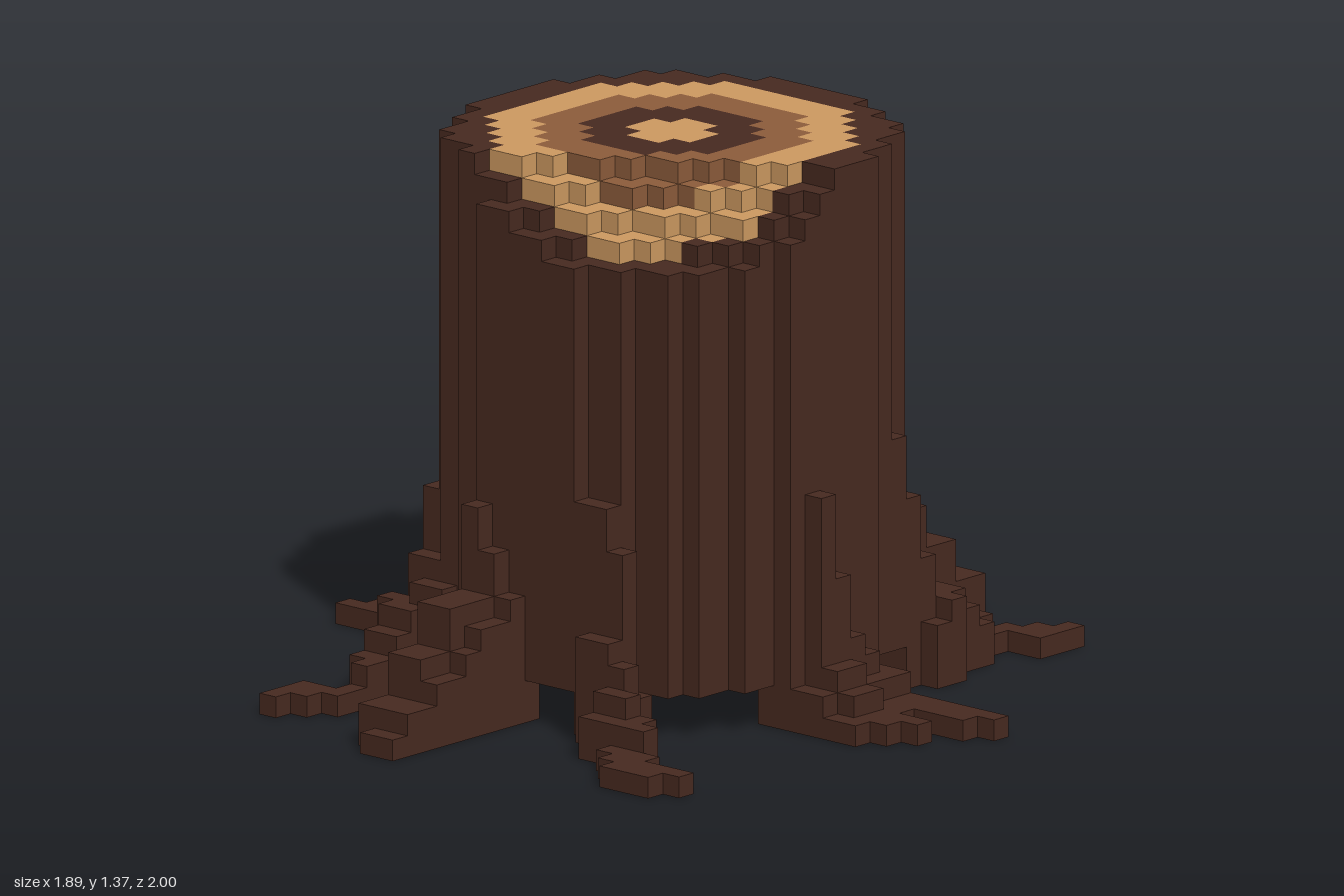
import * as THREE from 'three';

const U = 1 / 19;        // edge of one cube
const TOP = 26, BASE = 2; // trunk top and underside, in cubes

const mat = (name, color) => {
  const m = new THREE.MeshStandardMaterial({ color });
  m.name = name;
  return m;
};

// Roots on one half, as rows [z, firstX, lastX, height]; the other half is turned 180 degrees
const ROOTS = {
  frontRoot: [
    [9, -3, -1, 2], [10, -3, -3, 10], [10, -2, -2, 8], [10, -1, -1, 6],
    [11, -3, -2, 6], [11, -1, -1, 5], [12, -3, -2, 6], [12, -1, -1, 5], [13, -3, -2, 6], [13, -1, -1, 4],
    [14, -3, -2, 4], [14, -1, -1, 3], [15, -3, -2, 4], [15, -1, -1, 3],
    [16, -3, -1, 2], [17, -3, -1, 2], [18, -2, -1, 1],
  ],
  frontLeftRoot: [
    [8, 3, 5, 2], [9, 3, 4, 11], [9, 5, 5, 9],
    [10, 4, 5, 5], [10, 6, 6, 4], [11, 6, 7, 3], [11, 8, 8, 2],
    [12, 6, 9, 2], [13, 8, 10, 1], [14, 9, 13, 1], [15, 10, 12, 1],
  ],
  frontRightRoot: [
    [6, -9, -9, 9], [6, -8, -7, 2], [7, -10, -10, 3], [7, -9, -8, 6], [7, -7, -7, 9],
    [8, -10, -9, 4], [8, -8, -7, 5], [9, -9, -8, 4], [10, -9, -8, 3],
    [11, -9, -8, 2], [12, -8, -8, 2], [13, -8, -8, 1], [14, -10, -8, 1], [15, -10, -9, 1], [16, -10, -10, 1],
  ],
  // Flat fan of fingers: [z, tip, height against the bark, ridge height]
  sideRoot: [[-3, 17, 2, 2], [-2, 16, 3, 2], [-1, 13, 4, 2], [0, 15, 7, 3], [1, 14, 11, 3], [2, 13, 2, 2]]
    .flatMap(([z, tip, h, ridge]) => [
      [z, 8, 9, 2], [z, 10, 10, h], [z, 11, 11, ridge], [z, 12, 12, ridge - 1], [z, 13, tip, 1],
    ]),
};
const OPPOSITE = {
  frontRoot: 'backRoot', frontLeftRoot: 'backRightRoot', frontRightRoot: 'backLeftRoot', sideRoot: 'rightRoot',
};

// Odd ridges on the bark, as [x, z, top]
const RIDGES = [[8, -6, 12], [-9, 5, 9], [-10, -5, 7], [-10, -4, 7]];

// Growth rings, from the middle out: squared radius in cubes
const RINGS = [['heartCore', 4], ['darkRing', 16], ['middleRing', 37], ['outerRing', 72], ['bark', 100]];

const ringAt = (x, z) => {
  const d = (x + 0.5) ** 2 + (z + 0.5) ** 2;
  return RINGS.find(([, r2]) => d <= r2)?.[0];
};

// Stepped chip cut out of the front left rim
const chip = (x, z) => {
  const depth = Math.floor((8 * x + 12 * z - 64) / 16) + 1;
  return Math.max(0, Math.min(4, depth));
};

const key = (x, y, z) => `${x},${y},${z}`;

function fillCubes() {
  const cubes = new Map();
  const column = (x, z, from, to, part) => {
    for (let y = from; y < to; y++) {
      const k = key(x, y, z);
      if (!cubes.has(k)) cubes.set(k, [x, y, z, part]);
    }
  };
  for (let x = -10; x < 10; x++) for (let z = -10; z < 10; z++) {
    const ring = ringAt(x, z);
    if (ring) column(x, z, BASE, TOP - chip(x, z), ring);
  }
  for (const [x, z, top] of RIDGES) column(x, z, BASE, top, 'bark');

  for (const [name, rows] of Object.entries(ROOTS)) {
    for (const turned of [false, true]) {
      const part = turned ? OPPOSITE[name] : name === 'sideRoot' ? 'leftRoot' : name;
      for (const [z0, a, b, h] of rows) for (let x0 = a; x0 <= b; x0++) {
        const x = turned ? -1 - x0 : x0, z = turned ? -1 - z0 : z0;
        // Roots hang from the bark only, leaving the rings clear underneath
        if ((ringAt(x, z) ?? 'bark') !== 'bark') continue;
        let height = h;
        if (part === 'backRoot' && x0 === -3 && z0 === 10) height = 16; // climbs higher
        if (part === 'rightRoot') height = Math.min(h, 7);              // stays lower
        column(x, z, 0, height, part);
      }
    }
  }
  return cubes;
}

// Outward face directions, each with two edge vectors whose cross product is the normal
const FACES = [
  [[1, 0, 0], [0, 1, 0], [0, 0, 1]],
  [[0, 1, 0], [0, 0, 1], [1, 0, 0]],
  [[0, 0, 1], [1, 0, 0], [0, 1, 0]],
].flatMap(([n, u, v]) => [[n, u, v], [n.map((c) => -c), v, u]]);

// Keep only the cube faces that are not covered by a neighbour
function cubeGeometry(list, cubes) {
  const pos = [], nor = [], idx = [];
  for (const [x, y, z] of list) {
    const c = [x + 0.5, y + 0.5, z + 0.5];
    for (const [n, u, v] of FACES) {
      if (cubes.has(key(x + n[0], y + n[1], z + n[2]))) continue;
      const s = pos.length / 3;
      for (const [a, b] of [[-1, -1], [1, -1], [1, 1], [-1, 1]]) {
        for (let i = 0; i < 3; i++) pos.push((c[i] + (n[i] + a * u[i] + b * v[i]) / 2) * U);
        nor.push(...n);
      }
      idx.push(s, s + 1, s + 2, s, s + 2, s + 3);
    }
  }
  const g = new THREE.BufferGeometry();
  g.setAttribute('position', new THREE.Float32BufferAttribute(pos, 3));
  g.setAttribute('normal', new THREE.Float32BufferAttribute(nor, 3));
  g.setIndex(idx);
  return g;
}

export function createModel() {
  const bark = mat('dark bark', 0x482a20);
  const lightWood = mat('light wood', 0xcf9b62);
  const midWood = mat('middle wood', 0x8e5d3c);
  const materials = { heartCore: lightWood, outerRing: lightWood, middleRing: midWood };

  const cubes = fillCubes();
  const parts = {};
  for (const c of cubes.values()) (parts[c[3]] ??= []).push(c);

  const model = new THREE.Group();
  model.name = 'treeStump';
  for (const [name, list] of Object.entries(parts)) {
    const mesh = new THREE.Mesh(cubeGeometry(list, cubes), materials[name] ?? bark);
    mesh.name = name;
    model.add(mesh);
  }
  return model;
}
